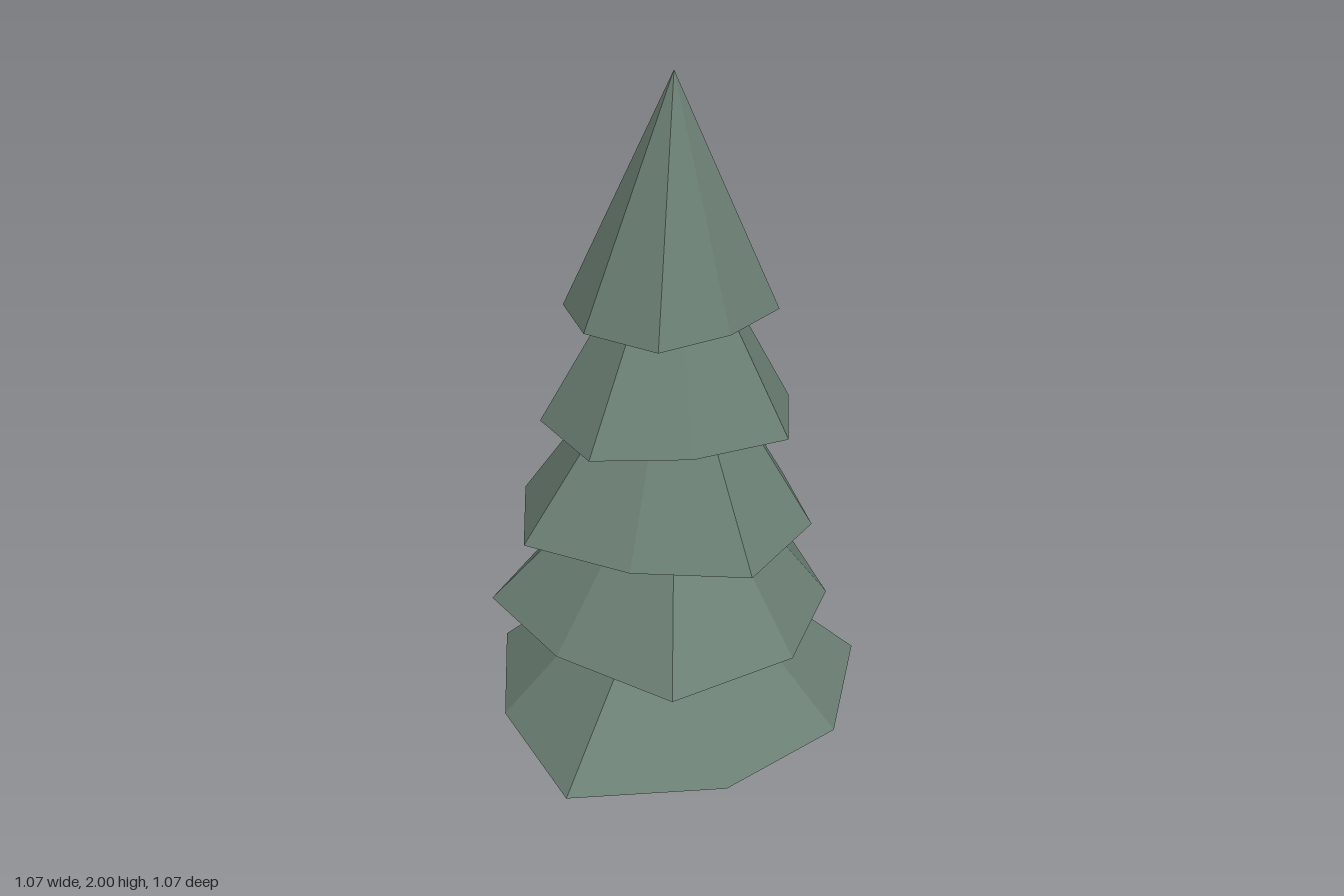
import * as THREE from 'three';

const AXIS = { x: -0.03, z: 0.03 };

// Irregular outline of each foliage tier as x, z pairs, with its height range and top scale
const TIERS = [
  { y0: 0.2, y1: 0.51, s: 0.41, rim: [-.05, -.54, .30, -.325, .535, .02, .32, .385, -.05, .53, -.465, .435, -.535, .02, -.44, -.375] },
  { y0: 0.5, y1: 0.8, s: 0.46, rim: [-.28, -.41, .075, -.395, .405, -.225, .385, .145, .17, .425, -.195, .51, -.425, .22, -.525, -.12] },
  { y0: 0.79, y1: 1.1, s: 0.49, rim: [-.125, -.35, .195, -.355, .325, -.06, .29, .24, .04, .45, -.25, .33, -.475, .107, -.395, -.21] },
  { y0: 1.09, y1: 1.39, s: 0.5, rim: [-.255, -.22, -.02, -.36, .235, -.18, .29, .05, .19, .30, -.08, .33, -.33, .255, -.39, -.01] },
  { y0: 1.38, y1: 2, s: 0, rim: [-.17, -.26, .045, -.22, .21, -.095, .225, .125, .045, .25, -.16, .30, -.30, .125, -.30, -.08] },
];

// Faceted skirt: sloping sides that shrink toward the axis, plus a flat underside
function tierGeometry({ y0, y1, s, rim }) {
  const n = rim.length / 2, pos = [];
  const low = (i) => [rim[(i % n) * 2], y0, rim[(i % n) * 2 + 1]];
  const high = (i) => {
    const [x, , z] = low(i);
    return [AXIS.x + (x - AXIS.x) * s, y1, AXIS.z + (z - AXIS.z) * s];
  };
  for (let i = 0; i < n; i++) {
    pos.push(...low(i), ...high(i), ...low(i + 1));
    if (s > 0) pos.push(...low(i + 1), ...high(i), ...high(i + 1));
    pos.push(AXIS.x, y0, AXIS.z, ...low(i), ...low(i + 1));
  }
  const g = new THREE.BufferGeometry();
  g.setAttribute('position', new THREE.Float32BufferAttribute(pos, 3));
  g.computeVertexNormals();
  return g;
}

// Tapered spike between two points
function spike(from, to, radius, sides) {
  const dir = to.clone().sub(from), len = dir.length();
  const g = new THREE.ConeGeometry(radius, len, sides).translate(0, len / 2, 0);
  g.applyQuaternion(new THREE.Quaternion().setFromUnitVectors(new THREE.Vector3(0, 1, 0), dir.normalize()));
  return g.translate(from.x, from.y, from.z);
}

export function createModel() {
  const model = new THREE.Group();
  const green = new THREE.MeshStandardMaterial({ color: 0x6b7f74, flatShading: true });
  green.name = 'greyGreen';
  const add = (name, geometry, parent = model) => {
    const mesh = new THREE.Mesh(geometry, green);
    mesh.name = name;
    parent.add(mesh);
  };
  const group = (name) => {
    const g = new THREE.Group();
    g.name = name;
    model.add(g);
    return g;
  };

  // Foliage
  const foliage = group('foliage');
  TIERS.forEach((t, i) => add(`foliageTier${i + 1}`, tierGeometry(t), foliage));

  // Trunk
  add('trunk', new THREE.CylinderGeometry(0.078, 0.08, 0.24, 8)
    .rotateY(Math.PI / 8).translate(-0.05, 0.13, 0.03));

  // Three roots spreading from the trunk, each with a small buttress
  const roots = group('roots');
  for (const [x, z] of [[-.28, -.12], [.03, .29], [.22, -.23]]) {
    const d = new THREE.Vector3(x + 0.05, 0, z - 0.03).normalize();
    const at = (r, y) => new THREE.Vector3(-0.05 + d.x * r, y, 0.03 + d.z * r);
    add('root', spike(at(0.05, 0.092), new THREE.Vector3(x, 0.025, z), 0.047, 5), roots);
    add('rootButtress', spike(at(0.12, 0.055), at(0.05, 0.15), 0.03, 4), roots);
  }

  // Grass tufts of thin leaning blades
  const grass = group('grass');
  for (const [x, z, turn] of [[.26, .2, 0.3], [.12, .17, 1.2], [.18, .02, 2.1]]) {
    for (let i = 0; i < 4; i++) {
      const a = turn + i * Math.PI / 2, lean = 0.03 + 0.008 * (i % 2);
      const c = Math.cos(a), s = Math.sin(a);
      add('grassBlade', spike(
        new THREE.Vector3(x + c * 0.006, 0.004, z + s * 0.006),
        new THREE.Vector3(x + c * lean, 0.145 - 0.02 * i, z + s * lean), 0.008, 3), grass);
    }
  }
  return model;
}
